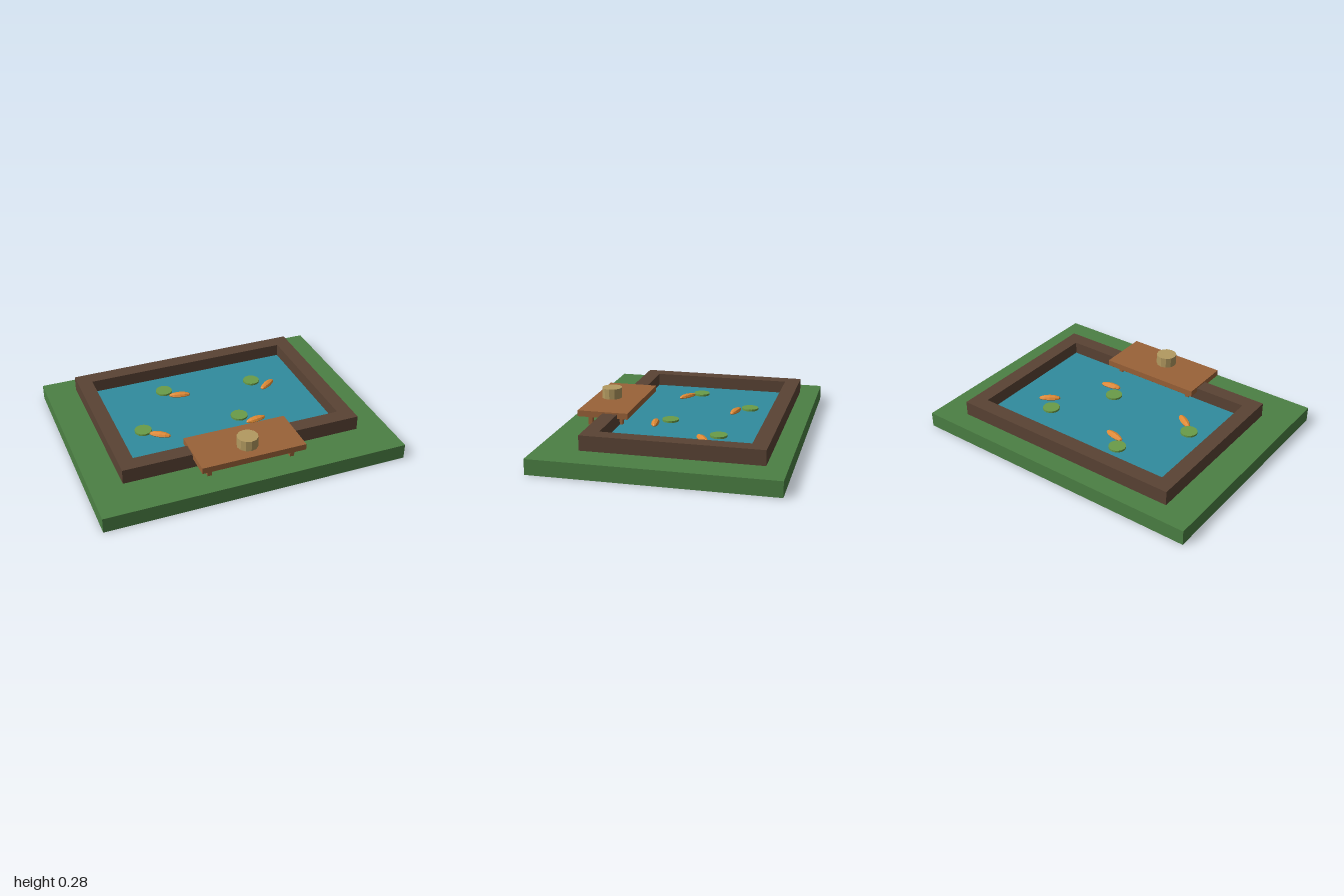
import * as THREE from 'three';

const mat = (color) => new THREE.MeshStandardMaterial({ color, flatShading: true });

export function createModel() {
  const root = new THREE.Group();
  root.name = 'gardenPond';
  const grass = mat(0x4c8044), timber = mat(0x5a4334), water = mat(0x318c9e);
  const plank = mat(0x9a6238), straw = mat(0xb39a60), leaf = mat(0x6a9c48), orange = mat(0xe08a34);

  const add = (name, geometry, material, x, y, z) => {
    const mesh = new THREE.Mesh(geometry, material);
    mesh.name = name;
    mesh.position.set(x, y, z);
    root.add(mesh);
    return mesh;
  };
  // Box given by its min and max corners
  const box = (name, material, x0, x1, y0, y1, z0, z1) =>
    add(name, new THREE.BoxGeometry(x1 - x0, y1 - y0, z1 - z0), material,
      (x0 + x1) / 2, (y0 + y1) / 2, (z0 + z1) / 2);

  // Lawn and water
  box('lawn', grass, -1, 1, 0, 0.1, -0.77, 0.77);
  box('water', water, -0.72, 0.72, 0.1, 0.116, -0.56, 0.42);

  // Timber rim: one rectangle with a rectangular hole
  const rect = (Kind, w, h) => new Kind([[-w, -h], [w, -h], [w, h], [-w, h]]
    .map(([x, y]) => new THREE.Vector2(x, y)));
  const rim = rect(THREE.Shape, 0.795, 0.57);
  rim.holes.push(rect(THREE.Path, 0.697, 0.47));
  const rimGeometry = new THREE.ExtrudeGeometry(rim, { depth: 0.097, bevelEnabled: false });
  rimGeometry.rotateX(-Math.PI / 2);
  add('rim', rimGeometry, timber, 0, 0.103, -0.07);

  // Dock with four legs
  box('dockDeck', plank, -0.345, 0.345, 0.17, 0.21, 0.33, 0.667);
  for (const x of [-0.277, 0.277]) {
    for (const z of [0.395, 0.6]) {
      box('dockLeg', plank, x - 0.014, x + 0.014, 0.1, 0.17, z - 0.014, z + 0.014);
    }
  }

  // Round stool on the dock
  add('stool', new THREE.CylinderGeometry(0.068, 0.068, 0.07, 12), straw, 0, 0.245, 0.542);

  // Floating lily pads
  const padGeometry = new THREE.CylinderGeometry(0.056, 0.056, 0.014, 16);
  for (const [x, z] of [[-0.24, -0.365], [0.375, -0.273], [-0.518, 0.036], [0.13, 0.1]]) {
    add('lilyPad', padGeometry, leaf, x, 0.122, z);
  }

  // Fish: faceted spindles, pointed at both ends
  const fishGeometry = new THREE.SphereGeometry(1, 8, 6);
  fishGeometry.rotateZ(Math.PI / 2);
  fishGeometry.scale(0.073, 0.02, 0.026);
  for (const [x, z, turn] of [
    [-0.155, -0.28, -0.23], [0.46, -0.187, 0.6], [-0.43, 0.12, -0.6], [0.215, 0.182, 0.15],
  ]) {
    add('fish', fishGeometry, orange, x, 0.122, z).rotation.y = turn;
  }
  return root;
}
